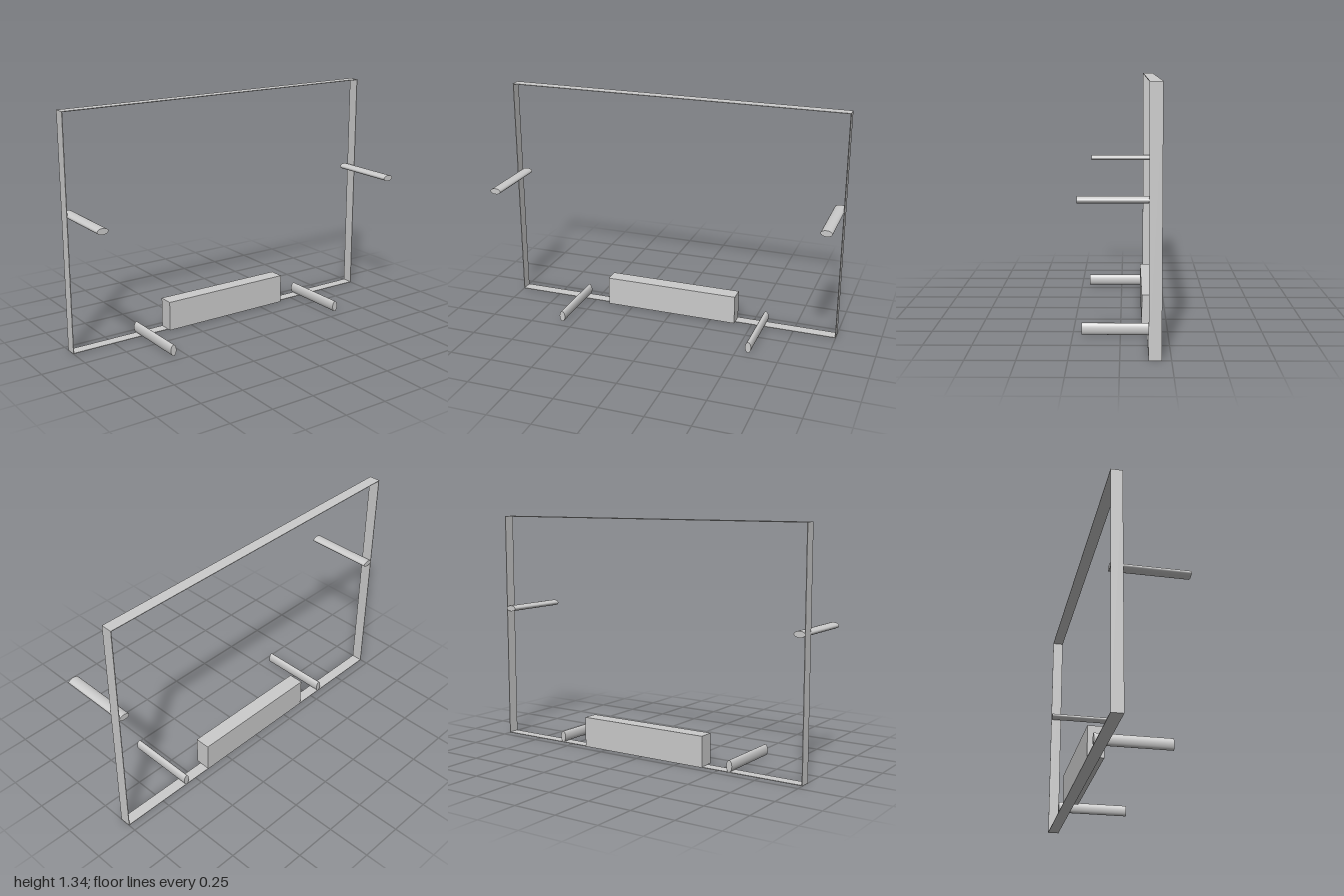
import * as THREE from 'three';

const BACK = -0.203, FRONT = 0.203;
const HEIGHT = 1.335, WALL = 0.004, FRAME_DEPTH = 0.064;

export function createModel() {
  const model = new THREE.Group();
  const material = new THREE.MeshStandardMaterial({ color: 0xcccccc });

  const add = (name, geometry, x, y, z) => {
    const mesh = new THREE.Mesh(geometry, material);
    mesh.name = name;
    mesh.position.set(x, y, z);
    model.add(mesh);
  };

  // Thin rectangular band, open front and back
  const outline = new THREE.Shape([[-1, 0], [1, 0], [1, HEIGHT], [-1, HEIGHT]]
    .map(([x, y]) => new THREE.Vector2(x, y)));
  const i = 1 - WALL, top = HEIGHT - WALL;
  outline.holes.push(new THREE.Path([[-i, WALL], [-i, top], [i, top], [i, WALL]]
    .map(([x, y]) => new THREE.Vector2(x, y))));
  add('frame', new THREE.ExtrudeGeometry(outline, { depth: FRAME_DEPTH, bevelEnabled: false }), 0, 0, BACK);

  // Box standing on the bottom rail, flush with the back
  const boxDepth = 0.089, boxHeight = 0.171;
  add('baseBox', new THREE.BoxGeometry(0.8, boxHeight, boxDepth),
    0, WALL + boxHeight / 2, BACK + boxDepth / 2);

  // Oval rods running from back to front
  const rod = (width, height) => new THREE.CylinderGeometry(1, 1, FRONT - BACK, 48)
    .rotateX(Math.PI / 2)
    .scale(width / 2, height / 2, 1);

  for (const [side, s] of [['left', 1], ['right', -1]]) {
    add(side + 'UpperRod', rod(0.064, 0.034), s * 0.967, 0.777, 0);
    add(side + 'LowerRod', rod(0.034, 0.064), s * 0.57, 0.036, 0);
  }

  return model;
}
